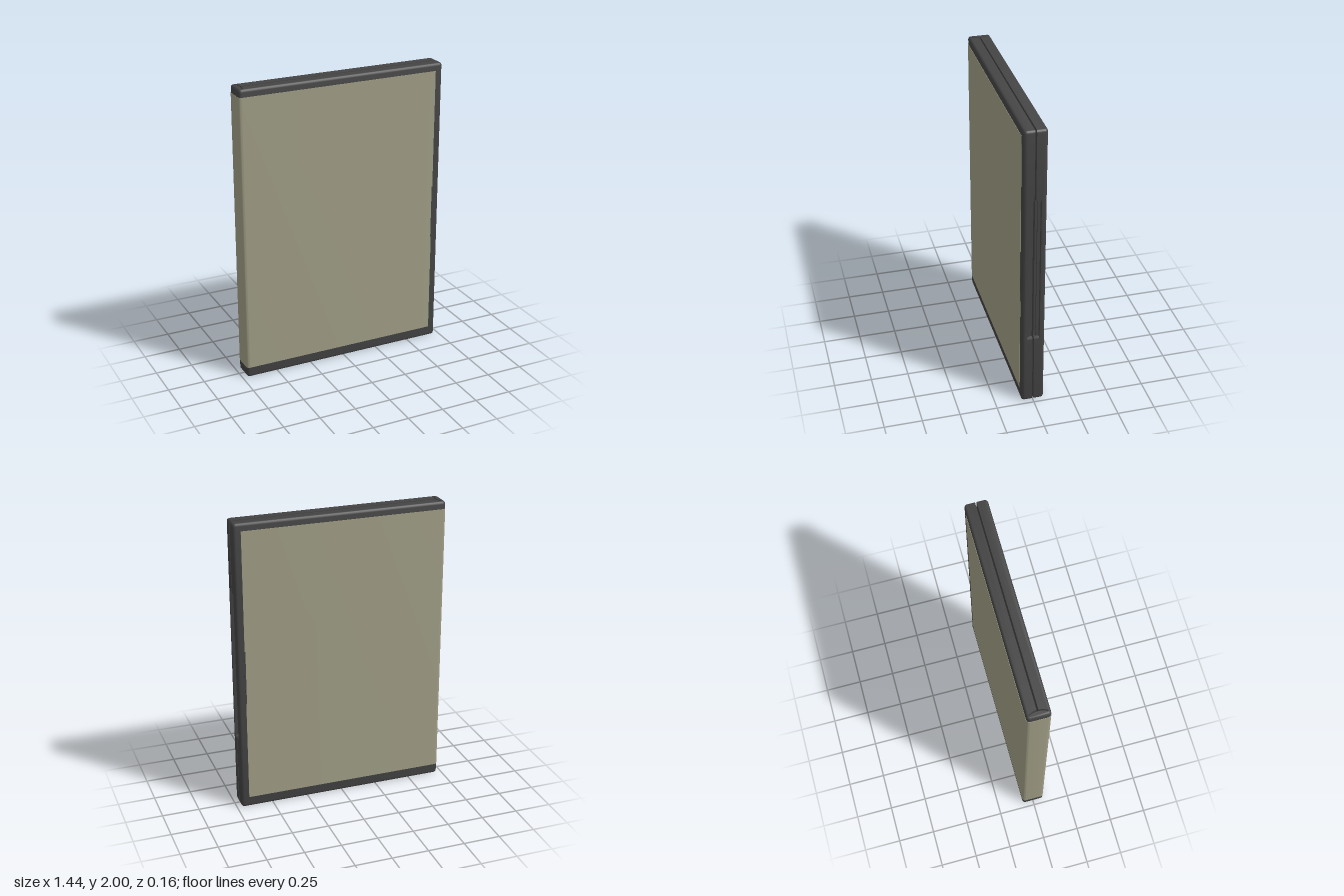
import * as THREE from 'three';
import { toCreasedNormals } from 'three/addons/utils/BufferGeometryUtils.js';

const HX = 0.718, HZ = 0.075, R = 0.02, GAP = 0.005;

// Points of a rounded corner, a quarter turn from angle a0
function corner(cx, cv, r, a0, n = 4) {
  const pts = [];
  for (let i = 0; i <= n; i++) {
    const a = a0 + (i / n) * Math.PI / 2;
    pts.push(new THREE.Vector2(cx + r * Math.cos(a), cv + r * Math.sin(a)));
  }
  return pts;
}

// Case cross-section: one shell folded round the slit and the curved hinge slot
function caseProfile(inset, recess) {
  const r = R - inset, cx = HX - R, cv = HZ - R, hx = HX - inset;
  const P = (x, v) => new THREE.Vector2(x, v);
  const slot = (x, v) => P(x - 0.016 * (v / 0.06) ** 2, v);
  // right edge and slot wall of one cover, from the outside in
  const edge = [P(hx, -0.041), P(hx - recess * 0.8, -0.039), P(hx - recess * 0.8, -0.02),
    P(hx - recess, -0.018), P(hx - recess, -GAP)];
  const wall = [0.005, 0.02, 0.04, 0.06].map(v => slot(-0.672, -v));
  const inner = [...edge, ...wall];
  const spine = [];
  for (let i = -4; i <= 4; i++) spine.push(slot(-0.681, i * 0.015));
  return [
    ...corner(-cx, cv, r, Math.PI / 2),
    ...corner(-cx, -cv, r, Math.PI),
    ...corner(cx, -cv, r, Math.PI * 1.5),
    ...inner, ...spine,
    ...inner.map(p => P(p.x, -p.y)).reverse(),
    ...corner(cx, cv, r, 0),
  ];
}

// Skin cross-sections stacked in y, with closed ends
function loft(stations) {
  const pos = [], idx = [];
  const n = stations[0].ring.length, last = (stations.length - 1) * n;
  stations.forEach(({ y, ring }) => ring.forEach(p => pos.push(p.x, y, -p.y)));
  for (let s = 0; s < last; s += n) {
    for (let i = 0; i < n; i++) {
      const j = (i + 1) % n;
      idx.push(s + i, s + j, s + n + j, s + i, s + n + j, s + n + i);
    }
  }
  THREE.ShapeUtils.triangulateShape(stations[0].ring, []).forEach(([a, b, c]) => {
    idx.push(a, c, b, last + a, last + b, last + c);
  });
  const g = new THREE.BufferGeometry();
  g.setAttribute('position', new THREE.Float32BufferAttribute(pos, 3));
  g.setIndex(idx);
  return toCreasedNormals(g, 0.6);
}

// Thin wrap of the sleeve round both covers and the spine
function sleeveGeometry() {
  const path = o => [
    new THREE.Vector2(0.667, HZ + o),
    ...corner(-HX + R, HZ - R, R + o, Math.PI / 2, 6),
    ...corner(-HX + R, -HZ + R, R + o, Math.PI, 6),
    new THREE.Vector2(0.667, -HZ - o),
  ];
  const shape = new THREE.Shape([...path(0.002), ...path(-0.001).reverse()]);
  const g = new THREE.ExtrudeGeometry(shape, { depth: 1.88, bevelEnabled: false });
  g.rotateX(-Math.PI / 2).translate(0, 0.07, 0);
  return toCreasedNormals(g, 0.6);
}

export function createModel() {
  const model = new THREE.Group();
  model.name = 'discCase';
  const plastic = new THREE.MeshStandardMaterial({ color: 0x444444 });
  const paper = new THREE.MeshStandardMaterial({ color: 0xa09e86, side: THREE.DoubleSide });
  const add = (name, geometry, material) => {
    const mesh = new THREE.Mesh(geometry, material);
    mesh.name = name;
    model.add(mesh);
    return mesh;
  };

  // Case: rounded ends and a finger recess along the opening edge
  const rows = [
    [0, 0.012, 0], [0.003, 0.006, 0], [0.009, 0.002, 0], [0.018, 0, 0],
    [0.495, 0, 0], [0.502, 0, 0.025], [1.518, 0, 0.025], [1.525, 0, 0],
    [1.982, 0, 0], [1.991, 0.002, 0], [1.997, 0.006, 0], [2, 0.012, 0],
  ];
  add('caseShell', loft(rows.map(([y, inset, rec]) => ({ y, ring: caseProfile(inset, rec) }))), plastic);

  // Sleeve
  add('sleeve', sleeveGeometry(), paper);

  // Narrow thumb notches at the sleeve's edge, front and back
  for (const s of [1, -1]) {
    add(s > 0 ? 'frontThumbNotch' : 'backThumbNotch', new THREE.BoxGeometry(0.009, 0.37, 0.004), plastic)
      .position.set(0.667, 0.955, s * (HZ + 0.0005));
  }
  return model;
}
